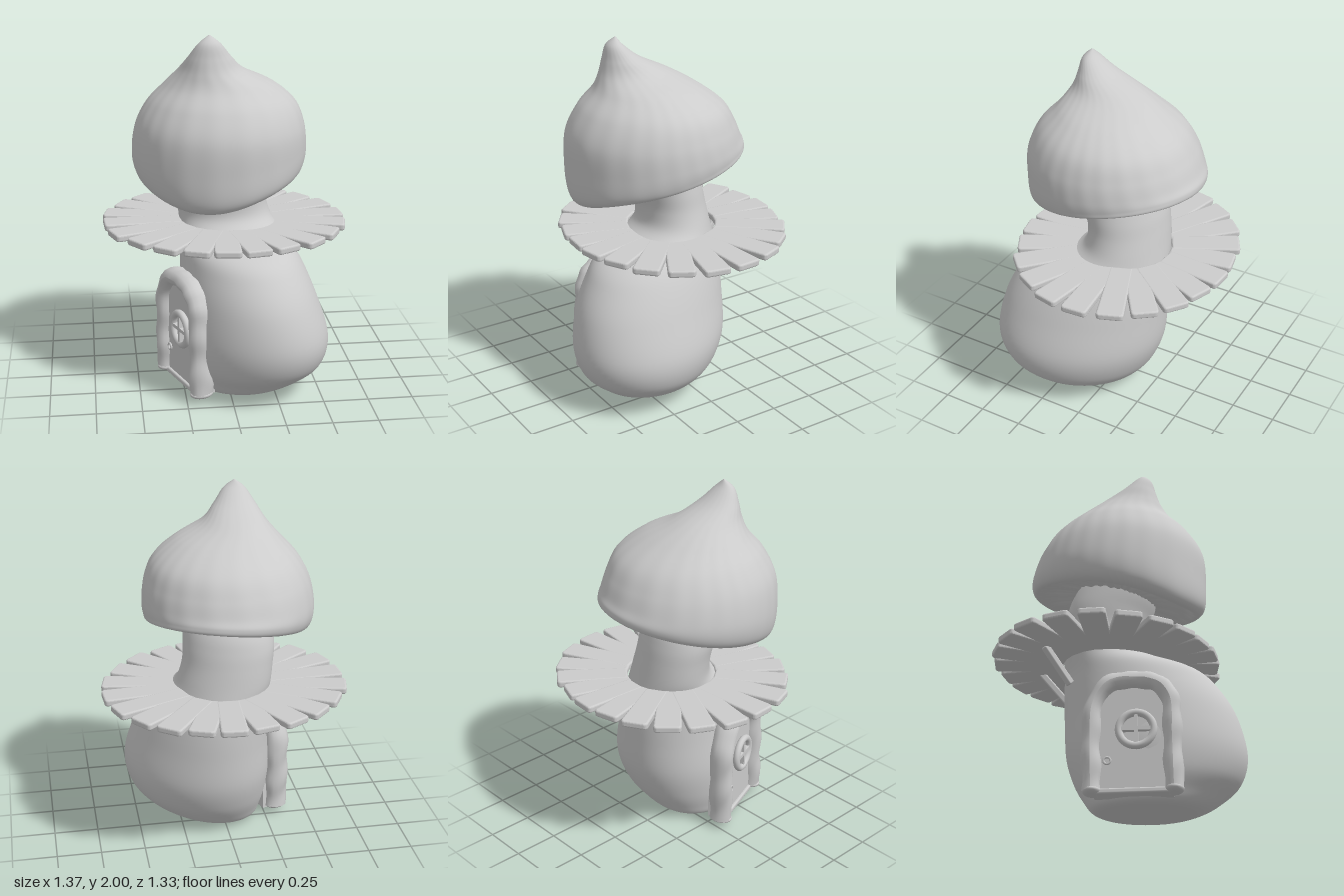
import * as THREE from 'three';
import { RoundedBoxGeometry } from 'three/addons/geometries/RoundedBoxGeometry.js';

const material = new THREE.MeshStandardMaterial({ color: 0xcccccc });

function add(parent, name, geometry, x = 0, y = 0, z = 0) {
  const mesh = new THREE.Mesh(geometry, material);
  mesh.name = name;
  mesh.position.set(x, y, z);
  parent.add(mesh);
  return mesh;
}

// Catmull-Rom blend of rows of numbers, u from 0 to 1
function sampleRows(rows, u) {
  const f = u * (rows.length - 1);
  const i = Math.min(Math.floor(f), rows.length - 2);
  const t = f - i;
  const at = (k) => rows[THREE.MathUtils.clamp(k, 0, rows.length - 1)];
  return rows[0].map((_, c) => {
    const [a, b, d, e] = [at(i - 1)[c], at(i)[c], at(i + 1)[c], at(i + 2)[c]];
    return b + 0.5 * t * (d - a + t * (2 * a - 5 * b + 4 * d - e + t * (3 * (b - d) + e - a)));
  });
}

// Smooth skin over tilted oval rings: [centre x, y, centre z, radius x, radius z, slope z, slope x]
function loft(rows, steps, sides, shear = 0, ripple = () => [1, 0]) {
  const positions = [], index = [];
  for (let j = 0; j <= steps; j++) {
    const u = j / steps;
    const [cx, y, cz, rx, rz, sz, sx] = sampleRows(rows, u);
    for (let i = 0; i < sides; i++) {
      const a = (i / sides) * Math.PI * 2;
      const [scale, lift] = ripple(a, u);
      const dx = rx * Math.cos(a) * scale;
      const dz = rz * Math.sin(a + shear) * scale;
      positions.push(cx + dx, y + sz * dz + sx * dx + lift, cz + dz);
      if (j < steps) {
        const p = j * sides + i, q = j * sides + ((i + 1) % sides);
        index.push(p, p + sides, q, q, p + sides, q + sides);
      }
    }
  }
  const geometry = new THREE.BufferGeometry();
  geometry.setAttribute('position', new THREE.Float32BufferAttribute(positions, 3));
  geometry.setIndex(index);
  geometry.computeVertexNormals();
  return geometry;
}

function makeStem() {
  const rows = [
    [0.05, 0.035, 0.15, 0.002, 0.002, 0, 0],
    [0.05, 0.012, 0.15, 0.11, 0.11, 0, 0.03],
    [0.06, 0.01, 0.155, 0.2, 0.2, 0, 0.05],
    [0.07, 0.035, 0.165, 0.28, 0.28, 0, 0.05],
    [0.11, 0.1, 0.175, 0.345, 0.35, 0, 0.04],
    [0.135, 0.2, 0.19, 0.395, 0.43, 0, 0.02],
    [0.138, 0.35, 0.185, 0.412, 0.475, 0, 0],
    [0.115, 0.55, 0.163, 0.375, 0.463, 0, 0],
    [0.09, 0.7, 0.125, 0.34, 0.425, 0, 0],
    [0.065, 0.8, 0.085, 0.31, 0.375, 0, 0],
    [0.035, 0.88, 0, 0.277, 0.28, 0, 0],
    [0.01, 0.95, -0.05, 0.258, 0.22, 0, 0],
    [-0.01, 1.05, -0.05, 0.248, 0.205, 0, 0],
    [-0.02, 1.15, -0.028, 0.25, 0.208, 0, 0],
    [-0.02, 1.25, 0.01, 0.243, 0.21, 0, 0],
    [-0.02, 1.4, 0.08, 0.22, 0.18, 0, 0],
  ];
  return loft(rows, 90, 72, 0.17);
}

function makeCap() {
  const rows = [
    [-0.02, 1.275, 0.03, 0.16, 0.16, -0.2, 0.05],
    [-0.02, 1.275, 0.025, 0.27, 0.28, -0.2, 0.07],
    [-0.015, 1.265, 0.015, 0.37, 0.39, -0.21, 0.09],
    [-0.01, 1.25, 0.01, 0.435, 0.46, -0.22, 0.1],
    [-0.025, 1.285, 0.033, 0.466, 0.495, -0.21, 0.08],
    [-0.03, 1.37, 0.05, 0.477, 0.49, -0.13, 0.04],
    [-0.025, 1.5, 0.065, 0.457, 0.467, -0.04, 0],
    [-0.02, 1.62, 0.065, 0.4, 0.4, 0, 0],
    [-0.035, 1.72, 0.085, 0.295, 0.29, 0, 0],
    [-0.08, 1.8, 0.13, 0.18, 0.2, 0, 0],
    [-0.095, 1.88, 0.2, 0.115, 0.105, 0, 0],
    [-0.1, 1.955, 0.24, 0.06, 0.045, 0, 0],
    [-0.1, 2, 0.235, 0.003, 0.003, 0, 0],
  ];
  // gills below, faint creases above, lip drooping at the front
  const ripple = (a, u) => {
    const droop = -0.045 * Math.max(0, Math.cos(a - 1.85)) ** 5 * Math.exp(-(((u - 0.27) / 0.09) ** 2));
    if (u < 0.25) {
      const fade = Math.sin((u / 0.25) * Math.PI);
      return [1, droop + fade * (0.008 * Math.sin(a * 34 + 2 * Math.sin(a * 3)) + 0.005 * Math.sin(a * 13))];
    }
    const fade = Math.sin(((u - 0.25) / 0.75) * Math.PI);
    return [1 + fade * (0.003 * Math.sin(a * 7 + u * 9) + 0.003 * Math.sin(a * 23 + 3 * Math.sin(a * 2))), droop];
  };
  return loft(rows, 96, 180, 0, ripple);
}

// Tapered board with rounded corners, running from x = r0 to x = r1
function boardGeometry(r0, r1) {
  const w0 = 0.06, w1 = 0.07, c = 0.018, bevel = 0.01;
  const shape = new THREE.Shape();
  shape.moveTo(r0, -w0);
  shape.lineTo(r1 - c, -w1);
  shape.quadraticCurveTo(r1, -w1, r1, -w1 + c);
  shape.lineTo(r1, w1 - c);
  shape.quadraticCurveTo(r1, w1, r1 - c, w1);
  shape.lineTo(r0, w0);
  const geometry = new THREE.ExtrudeGeometry(shape, {
    depth: 0.018, bevelThickness: bevel, bevelSize: bevel, bevelOffset: -0.006, bevelSegments: 3, curveSegments: 5,
  });
  return geometry.translate(0, 0, -0.009).rotateX(-Math.PI / 2);
}

// Ring of boards
function makeDeck() {
  const deck = new THREE.Group();
  deck.name = 'deck';
  const count = 22;
  for (let i = 0; i < count; i++) {
    const a = (i / count) * Math.PI * 2 - 0.07 + 0.01 * Math.sin(i * 5.3);
    const outer = 0.605 + 0.077 * Math.cos(a) ** 2 + 0.005 * Math.sin(i * 2.7);
    const board = add(deck, 'deckBoard', boardGeometry(0.25, outer), 0, 0.899 + 0.001 * Math.sin(i * 3.1), -0.05);
    board.rotation.y = -a;
  }
  deck.rotation.z = -0.01;
  return deck;
}

function makeStrut(parent, from, to) {
  const a = new THREE.Vector3(...from), b = new THREE.Vector3(...to);
  const strut = add(parent, 'deckStrut', new RoundedBoxGeometry(0.042, 0.035, a.distanceTo(b) + 0.03, 2, 0.008));
  strut.position.copy(a).add(b).multiplyScalar(0.5);
  strut.lookAt(b);
}

function makeDoor() {
  const door = new THREE.Group();
  door.name = 'door';
  door.position.set(-0.26, 0, 0.25);
  door.rotation.y = Math.atan2(-0.93, 0.36);

  // knobbly wooden frame
  const points = [[-0.225, 0.05], [-0.23, 0.3], [-0.215, 0.52], [-0.13, 0.635], [0, 0.65],
    [0.12, 0.62], [0.18, 0.54], [0.19, 0.3], [0.195, 0.05]];
  const path = new THREE.CatmullRomCurve3(points.map(([x, y]) => new THREE.Vector3(x, y, -0.015)));
  const frame = new THREE.TubeGeometry(path, 80, 0.05, 14);
  const p = frame.attributes.position, n = frame.attributes.normal;
  for (let k = 0; k < p.count; k++) {
    const x = p.getX(k), y = p.getY(k), z = p.getZ(k);
    const bump = 0.003 * Math.sin(y * 27 + x * 19) + 0.003 * Math.sin(x * 60 - y * 33 + z * 40);
    p.setXYZ(k, x + n.getX(k) * bump, y + n.getY(k) * bump, z * 1.35 + n.getZ(k) * bump);
  }
  frame.computeVertexNormals();
  add(door, 'doorFrame', frame);
  for (const x of [-0.225, 0.195]) {
    add(door, 'frameFoot', new THREE.SphereGeometry(0.05, 20, 12), x, 0.052, -0.02).scale.set(1, 0.5, 1.35);
  }

  // arched panel
  const shape = new THREE.Shape();
  shape.moveTo(-0.22, 0.035);
  shape.lineTo(0.19, 0.035);
  shape.lineTo(0.175, 0.52);
  shape.quadraticCurveTo(0.13, 0.64, 0, 0.645);
  shape.quadraticCurveTo(-0.14, 0.64, -0.2, 0.52);
  add(door, 'doorPanel', new THREE.ExtrudeGeometry(shape, { depth: 0.1, bevelEnabled: false }), 0, 0, -0.105);
  add(door, 'doorSill', new RoundedBoxGeometry(0.38, 0.03, 0.07, 2, 0.01), -0.015, 0.045, -0.025);

  // round window with crossed bars
  add(door, 'windowRim', new THREE.TorusGeometry(0.09, 0.02, 12, 40), 0.005, 0.37, 0.012);
  add(door, 'windowBar', new THREE.BoxGeometry(0.17, 0.02, 0.03), 0.005, 0.37, 0.01);
  add(door, 'windowBar', new THREE.BoxGeometry(0.02, 0.17, 0.03), 0.005, 0.37, 0.01);
  add(door, 'doorHandle', new THREE.TorusGeometry(0.018, 0.006, 8, 20), -0.145, 0.205, 0.008);
  return door;
}

export function createModel() {
  const model = new THREE.Group();
  model.name = 'mushroomHouse';
  add(model, 'stem', makeStem());
  add(model, 'cap', makeCap());
  model.add(makeDeck(), makeDoor());
  makeStrut(model, [0.18, 0.74, -0.25], [0.23, 0.88, -0.31]);
  makeStrut(model, [-0.03, 0.7, -0.28], [-0.06, 0.88, -0.42]);
  makeStrut(model, [-0.25, 0.72, -0.15], [-0.38, 0.88, -0.22]);
  return model;
}
